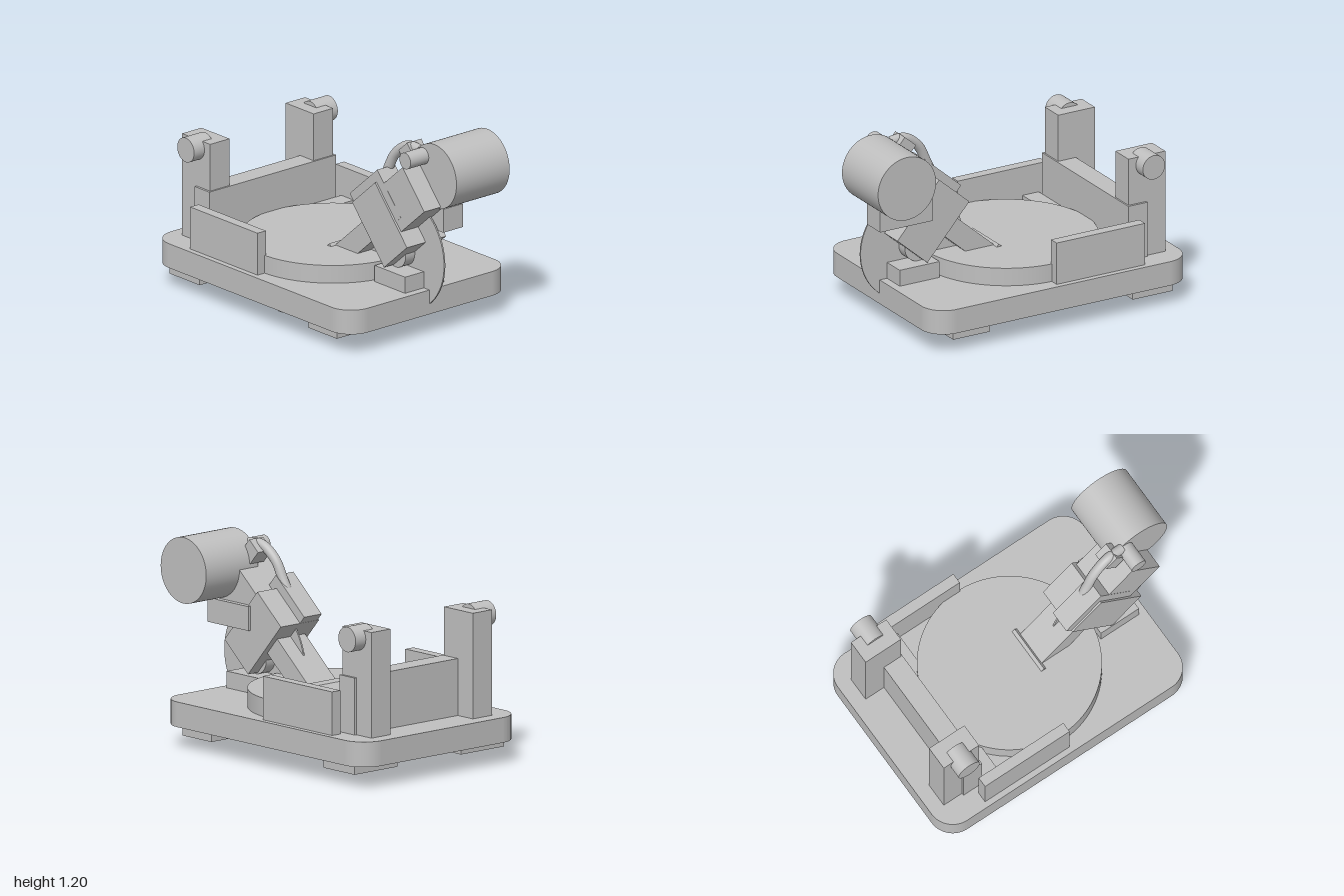
import * as THREE from 'three';

export function createModel() {
  const root = new THREE.Group();
  const grey = new THREE.MeshStandardMaterial({ color: 0xbfbfbf });
  grey.name = 'machine grey';
  const TILT = THREE.MathUtils.degToRad(41);

  const add = (name, geo) => {
    const mesh = new THREE.Mesh(geo, grey);
    mesh.name = name;
    root.add(mesh);
    return mesh;
  };
  // Box given by its limits on each axis
  const box = (name, x0, x1, y0, y1, z0, z1) => {
    const m = add(name, new THREE.BoxGeometry(x1 - x0, y1 - y0, z1 - z0));
    m.position.set((x0 + x1) / 2, (y0 + y1) / 2, (z0 + z1) / 2);
    return m;
  };
  // Box leaning along the saw arm, given by its centre, length, thickness and z limits
  const tiltedBox = (name, x, y, len, thick, z0, z1) => {
    const m = box(name, x - len / 2, x + len / 2, y - thick / 2, y + thick / 2, z0, z1);
    m.rotation.z = TILT;
    return m;
  };
  // Cylinder lying along z
  const rod = (name, x, y, r, z0, z1) => {
    const m = add(name, new THREE.CylinderGeometry(r, r, z1 - z0, 64));
    m.rotation.x = Math.PI / 2;
    m.position.set(x, y, (z0 + z1) / 2);
    return m;
  };
  // Upright cylinder
  const disc = (name, x, z, r, y0, y1) => {
    const m = add(name, new THREE.CylinderGeometry(r, r, y1 - y0, 96));
    m.position.set(x, (y0 + y1) / 2, z);
    return m;
  };

  // Base plate with rounded corners
  const x0 = -1, x1 = 0.75, w = 0.63, r = 0.15;
  const plan = new THREE.Shape();
  plan.absarc(x1 - r, w - r, r, 0, Math.PI / 2);
  plan.absarc(x0 + r, w - r, r, Math.PI / 2, Math.PI);
  plan.absarc(x0 + r, -w + r, r, Math.PI, Math.PI * 1.5);
  plan.absarc(x1 - r, -w + r, r, Math.PI * 1.5, Math.PI * 2);
  const base = add('basePlate', new THREE.ExtrudeGeometry(plan, { depth: 0.15, bevelEnabled: false, curveSegments: 16 }));
  base.rotation.x = -Math.PI / 2;
  base.position.y = 0.13;

  // Turntable, fence and blocks on the base
  disc('turntable', -0.115, 0, 0.54, 0.28, 0.39);
  box('rearFence', -0.78, -0.65, 0.28, 0.62, -0.49, 0.49);
  box('fenceFoot', -0.65, -0.54, 0.28, 0.36, -0.53, 0.53);
  box('bladeBlock', 0.43, 0.7, 0.28, 0.38, -0.15, 0.15);

  // Mirrored parts: feet, side fences, posts and clamp knobs
  for (const s of [1, -1]) {
    const pair = (name, a, b, y0, y1, z0, z1) =>
      box(name, a, b, y0, y1, Math.min(s * z0, s * z1), Math.max(s * z0, s * z1));
    pair('foot', -0.89, -0.62, 0.075, 0.13, 0.25, 0.59);
    pair('foot', 0.35, 0.6, 0.075, 0.13, 0.25, 0.59);
    pair('sideFence', -0.7, -0.1, 0.28, 0.54, 0.53, 0.595);
    pair('post', -0.91, -0.66, 0.28, 0.91, 0.325, 0.475);
    rod('postKnob', -0.785, 0.86, 0.075, s > 0 ? 0.405 : -0.555, s > 0 ? 0.555 : -0.405);
  }

  // Pivot beneath the table
  rod('pivotRod', -0.13, 0.135, 0.095, -0.32, 0.32);
  disc('lockStem', -0.13, 0.345, 0.025, 0.04, 0.14);
  disc('lockKnob', -0.13, 0.345, 0.055, 0, 0.05);
  tiltedBox('pivotBlock', -0.029, 0.217, 0.333, 0.213, -0.15, 0.15);

  // Saw head
  tiltedBox('beam', 0.225, 0.47, 0.7, 0.13, -0.11, 0.11);
  tiltedBox('gearHousing', 0.473, 0.642, 0.27, 0.433, -0.152, 0.15);
  tiltedBox('bladeGuard', 0.421, 0.745, 0.325, 0.32, 0, 0.138);
  tiltedBox('motorArm', 0.618, 0.813, 0.374, 0.296, -0.137, 0.137);
  rod('motor', 0.8, 1.0, 0.197, -0.4, 0.01);
  box('motorBracket', 0.49, 0.845, 0.655, 0.8, -0.17, -0.02);
  rod('arbor', 0.53, 0.47, 0.09, -0.075, 0.075);
  rod('blade', 0.535, 0.465, 0.345, -0.005, 0.005);

  // Handle with its mount and switch
  tiltedBox('handleMount', 0.605, 1.093, 0.1, 0.105, -0.055, 0.055);
  rod('switchKnob', 0.7, 1.1, 0.05, 0, 0.15);
  const path = new THREE.CatmullRomCurve3([
    new THREE.Vector3(0.68, 1.13, 0.01),
    new THREE.Vector3(0.57, 1.13, 0.015),
    new THREE.Vector3(0.47, 1.055, 0.025),
    new THREE.Vector3(0.41, 0.94, 0.033),
    new THREE.Vector3(0.36, 0.84, 0.04),
  ]);
  add('handle', new THREE.TubeGeometry(path, 40, 0.03, 20));

  return root;
}
